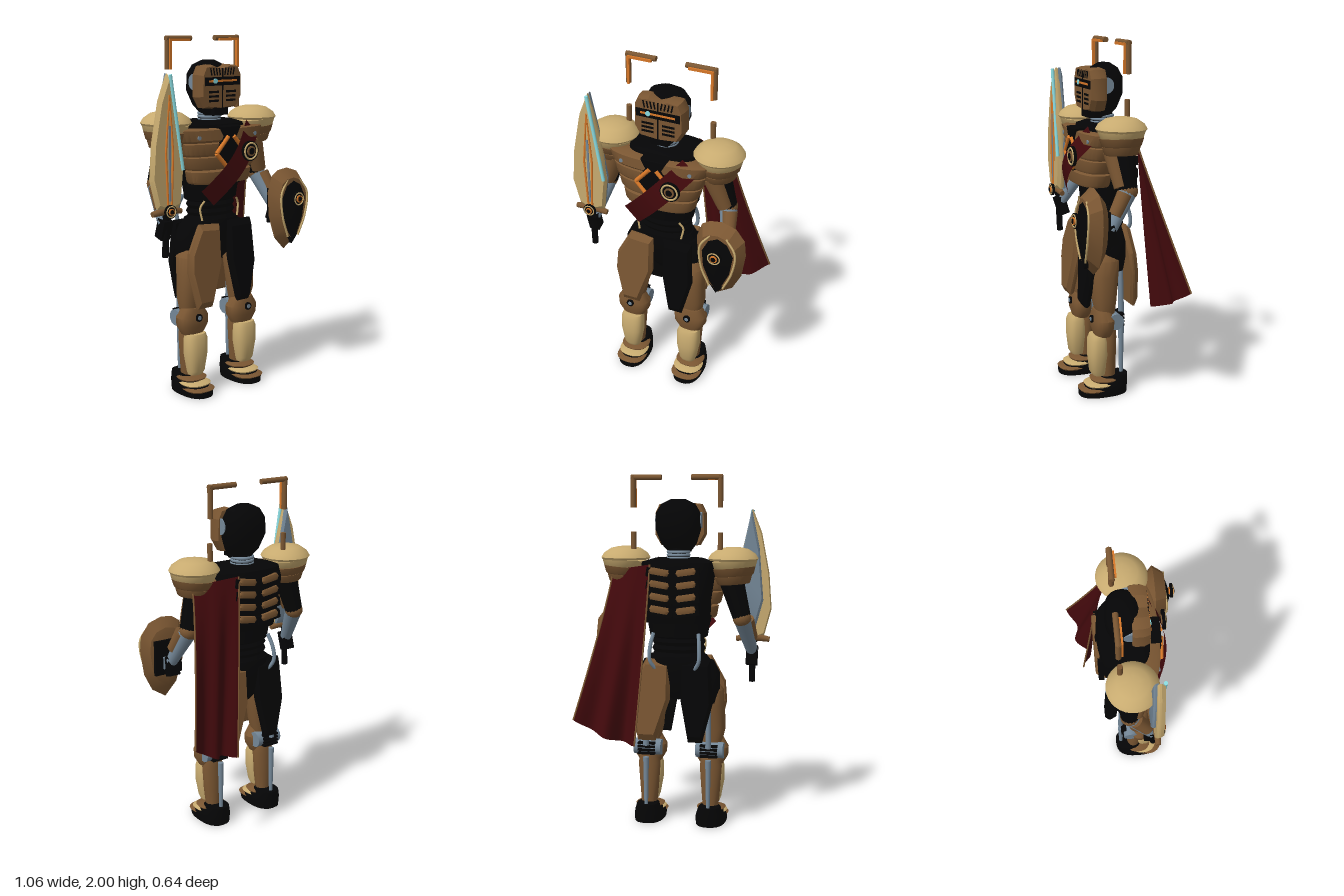
import * as THREE from 'three';
import { toCreasedNormals } from 'three/addons/utils/BufferGeometryUtils.js';

const paint = (name, color) => Object.assign(new THREE.MeshStandardMaterial({ color }), { name });
const V = (x, y, z) => new THREE.Vector3(x, y, z);
const mix = THREE.MathUtils.lerp;

// Skin closed rings of points, with capped ends
function skin(rings, crease = 0.6) {
  const n = rings[0].length, pos = [], idx = [];
  rings.forEach(r => r.forEach(p => pos.push(p.x, p.y, p.z)));
  const caps = [rings[0], rings[rings.length - 1]].map(r => {
    const c = r.reduce((s, p) => s.add(p), V(0, 0, 0)).divideScalar(n);
    pos.push(c.x, c.y, c.z);
    return pos.length / 3 - 1;
  });
  const last = (rings.length - 1) * n;
  for (let i = 0; i < n; i++) {
    const k = (i + 1) % n;
    for (let j = 0; j < last; j += n) idx.push(j + i, j + n + i, j + k, j + n + i, j + n + k, j + k);
    idx.push(caps[0], i, k, caps[1], last + k, last + i);
  }
  const g = new THREE.BufferGeometry();
  g.setAttribute('position', new THREE.Float32BufferAttribute(pos, 3));
  g.setIndex(idx);
  return toCreasedNormals(g, crease);
}
// Upright body from sections [y, rx, rz, cx, cz]; power squares the oval
const loft = (sections, power = 2, n = 24) => skin(sections.map(([y, rx, rz, cx = 0, cz = 0]) =>
  Array.from({ length: n }, (_, i) => {
    const a = i / n * Math.PI * 2, c = Math.cos(a), s = Math.sin(a), e = 2 / power;
    return V(cx + rx * Math.sign(c) * Math.abs(c) ** e, y, cz + rz * Math.sign(s) * Math.abs(s) ** e);
  })));
// Layered plate from a clockwise outline and layers [scale, z]
function plate(outline, layers) {
  const cx = outline.reduce((s, p) => s + p[0], 0) / outline.length;
  const cy = outline.reduce((s, p) => s + p[1], 0) / outline.length;
  return skin(layers.map(([s, z]) => outline.map(([x, y]) => V(cx + (x - cx) * s, cy + (y - cy) * s, z))), 0.4);
}
// Open sheet from a function of u and v
function sheet(nu, nv, f) {
  const g = new THREE.PlaneGeometry(1, 1, nu, nv), p = g.attributes.position, uv = g.attributes.uv;
  for (let i = 0; i < p.count; i++) p.setXYZ(i, ...f(uv.getX(i), 1 - uv.getY(i)).toArray());
  g.computeVertexNormals();
  return g;
}
const tube = (pts, r) => new THREE.TubeGeometry(new THREE.CatmullRomCurve3(pts), 24, r, 8);
const box = (w, h, d) => new THREE.BoxGeometry(w, h, d);

export function createModel() {
  const bronze = paint('bronze', 0x7a5632), gold = paint('pale gold', 0xc8ab70), black = paint('black', 0x050506);
  const orange = paint('orange', 0xd87828), red = paint('dark red', 0x42090c), steel = paint('steel', 0x748797);
  const cyan = paint('cyan', 0x8adbe0);
  red.side = THREE.DoubleSide;

  const root = new THREE.Group(), body = new THREE.Group();
  root.name = 'armouredKnight';
  body.name = 'body';
  body.position.x = -0.02;
  root.add(body);
  const add = (parent, name, geo, mat, p = [0, 0, 0], r = [0, 0, 0]) => {
    const m = new THREE.Mesh(geo, mat);
    m.name = name;
    m.position.set(...p);
    m.rotation.set(...r);
    parent.add(m);
    return m;
  };
  // Tapered rod between two points
  const limb = (parent, name, a, b, ra, rb, mat) => {
    const d = b.clone().sub(a), m = add(parent, name, new THREE.CylinderGeometry(rb, ra, d.length(), 16), mat);
    m.position.copy(a).addScaledVector(d, 0.5);
    m.quaternion.setFromUnitVectors(V(0, 1, 0), d.normalize());
  };
  const disc = (parent, name, r, d, mat, p) =>
    add(parent, name, new THREE.CylinderGeometry(r, r, d, 24), mat, p, [Math.PI / 2, 0, 0]);
  // Round badge with rings
  const badge = (parent, x, y, z, r, mat) => {
    disc(parent, 'badgeBase', r, 0.016, black, [x, y, z]);
    add(parent, 'badgeRing', new THREE.TorusGeometry(r * 0.8, r * 0.1, 6, 24), gold, [x, y, z + 0.008]);
    disc(parent, 'badgeCentre', r * 0.5, 0.03, mat, [x, y, z]);
    disc(parent, 'badgeCore', r * 0.33, 0.036, black, [x, y, z]);
  };

  // Head and face mask
  add(body, 'helmet', loft([[1.565, 0.055, 0.06, 0, 0.02], [1.62, 0.1, 0.085, 0, 0], [1.7, 0.128, 0.095, 0, -0.02],
    [1.79, 0.125, 0.093, 0, -0.022], [1.84, 0.095, 0.07, 0, -0.02], [1.866, 0.04, 0.03, 0, -0.02]], 2.3), black);
  add(body, 'faceMask', plate([[-0.12, 1.838], [-0.06, 1.845], [0, 1.825], [0.06, 1.845], [0.12, 1.838], [0.143, 1.79], [0.145, 1.67],
    [0.11, 1.61], [0, 1.6], [-0.11, 1.61], [-0.145, 1.67], [-0.143, 1.79]], [[0.96, 0.015], [1, 0.03], [1, 0.075], [0.92, 0.105]]), bronze);
  add(body, 'visorSlot', box(0.25, 0.046, 0.008), black, [0, 1.755, 0.105]);
  add(body, 'visorLight', box(0.2, 0.011, 0.008), orange, [0, 1.757, 0.108]);
  disc(body, 'eyeLens', 0.014, 0.009, cyan, [-0.055, 1.757, 0.11]);
  add(body, 'maskSeam', box(0.008, 0.22, 0.006), black, [0, 1.715, 0.104]);
  add(body, 'chinGuard', box(0.1, 0.05, 0.05), black, [0, 1.595, 0.07]);
  for (const s of [-1, 1]) {
    for (let i = 0; i < 4; i++)
      add(body, 'browVent', box(0.008, 0.04, 0.006), black, [s * (0.02 + i * 0.02), 1.807, 0.104], [0, 0, s * -0.2]);
    for (let i = 0; i < 3; i++)
      add(body, 'cheekGrille', box(0.07, 0.012, 0.006), black, [s * 0.06, 1.65 + i * 0.024, 0.104]);
    add(body, 'earDisc', new THREE.CylinderGeometry(0.045, 0.045, 0.02, 20), steel, [s * 0.12, 1.75, 0.014], [0, 0, Math.PI / 2]);
  }
  for (let i = 0; i < 3; i++)
    add(body, 'neckRing', new THREE.TorusGeometry(0.058, 0.009, 8, 24), steel, [0, 1.54 + i * 0.017, -0.01], [Math.PI / 2, 0, 0]);
  add(body, 'neck', new THREE.CylinderGeometry(0.055, 0.07, 0.1, 20), black, [0, 1.55, -0.01]);

  // Torso, waist and hips
  add(body, 'torso', loft([[1.18, 0.18, 0.12, 0, -0.01], [1.3, 0.185, 0.14, 0, -0.025], [1.46, 0.21, 0.15, 0, -0.02],
    [1.52, 0.2, 0.13, 0, -0.02], [1.54, 0.13, 0.09, 0, -0.01]], 3.2, 32), black);
  const waist = [[1.1, 0.166, 0.11], [1.22, 0.188, 0.12]];
  for (let i = 0; i < 8; i++) waist.splice(i, 0, [0.95 + i * 0.02, 0.155 - (i % 2) * 0.012, 0.108 - (i % 2) * 0.012]);
  add(body, 'ribbedWaist', loft(waist), black);
  add(body, 'hips', loft([[0.74, 0.04, 0.06], [0.82, 0.15, 0.1], [0.95, 0.19, 0.115], [0.99, 0.16, 0.11]], 2.4), black);
  const tiers = [[1.43, 0.27, 0.3], [1.355, 0.245, 0.27], [1.28, 0.22, 0.245], [1.2, 0.195, 0.215]];
  tiers.forEach(([y, low, high], i) => add(body, 'chestBand', loft([[y, low, 0.09, 0, 0.07],
    [y + 0.012, low + 0.01, 0.1 - i * 0.002, 0, 0.07], [y + 0.068, high, 0.097, 0, 0.07], [y + 0.074, high - 0.01, 0.085, 0, 0.07]], 2.5, 32), bronze));
  add(body, 'chestCore', plate([[-0.075, 1.515], [0.075, 1.515], [0.045, 1.46], [0.1, 1.38], [0, 1.27], [-0.1, 1.38], [-0.045, 1.46]],
    [[1, 0.12], [1, 0.17], [0.95, 0.176]]), black);
  for (const s of [-1, 1]) {
    limb(body, 'chestChevron', V(s * 0.02, 1.46, 0.178), V(s * 0.1, 1.37, 0.174), 0.012, 0.012, orange);
    limb(body, 'chestChevron', V(s * 0.1, 1.37, 0.174), V(s * 0.025, 1.29, 0.178), 0.012, 0.012, orange);
    disc(body, 'chestBolt', 0.011, 0.012, steel, [s * 0.2, 1.46, 0.148]);
    add(body, 'waistHose', tube([V(s * 0.115, 1.1, 0.09), V(s * 0.138, 1.06, 0.08), V(s * 0.128, 0.99, 0.085)], 0.006), gold);
    add(body, 'backHose', tube([V(s * 0.13, 1.12, -0.08), V(s * 0.14, 1.05, -0.115), V(s * 0.14, 0.97, -0.125), V(s * 0.09, 0.89, -0.09)], 0.011), steel);
    // Spine armour
    for (let i = 0; i < 4; i++) {
      const y = 1.25 + i * 0.07;
      add(body, 'spineBlock', box(0.15, 0.05, 0.03), black, [s * 0.075, y, -0.152], [0, 0, s * 0.15]);
      add(body, 'spinePlate', loft([[-0.018, 0.05, 0.012], [0, 0.058, 0.017], [0.018, 0.05, 0.012]], 4, 16), bronze, [s * 0.075, y + 0.01, -0.164], [0, 0, s * 0.15]);
    }
  }

  // Hip panels, front pair turned half round for the back pair
  const bronzePanel = [[-0.17, 0.97], [-0.03, 0.96], [-0.03, 0.74], [-0.11, 0.5], [-0.21, 0.5], [-0.258, 0.7], [-0.25, 0.82]];
  const blackPanel = [[0.03, 0.97], [0.2, 0.97], [0.215, 0.72], [0.16, 0.5], [0.08, 0.5], [0.03, 0.75]];
  const layers = [[0.94, 0.1], [1, 0.115], [1, 0.125], [0.85, 0.15]];
  for (const turn of [0, Math.PI]) {
    const g = new THREE.Group();
    g.name = turn ? 'backHipPanels' : 'frontHipPanels';
    g.rotation.y = turn;
    body.add(g);
    const tilt = [-0.08, 0, 0], at = [0, 0, turn ? 0.04 : 0.065];
    add(g, 'bronzePanel', plate(bronzePanel, layers), bronze, at, tilt);
    add(g, 'blackPanel', plate(blackPanel, layers), black, at, tilt);
  }

  for (const s of [-1, 1]) {
    // Leg
    const leg = new THREE.Group();
    leg.name = s > 0 ? 'leftLeg' : 'rightLeg';
    leg.position.x = s * 0.183;
    body.add(leg);
    add(leg, 'thigh', loft([[0.47, 0.06, 0.05, 0, 0.045], [0.56, 0.08, 0.065, 0, 0.05], [0.7, 0.085, 0.075, -s * 0.01, 0.045],
      [0.79, 0.085, 0.075, -s * 0.015, 0.035], [0.83, 0.06, 0.055, -s * 0.02, 0.03]], 2.5), bronze);
    add(leg, 'upperThigh', loft([[0.72, 0.05, 0.05, -s * 0.02, -0.02], [0.8, 0.078, 0.085, -s * 0.022, 0.0],
      [0.89, 0.08, 0.09, -s * 0.025, 0.0], [0.96, 0.06, 0.07, -s * 0.04, 0]]), black);
    add(leg, 'kneePlate', loft([[0.35, 0.065, 0.045, 0, 0.06], [0.4, 0.095, 0.06, 0, 0.06], [0.45, 0.098, 0.062, 0, 0.06], [0.505, 0.065, 0.045, 0, 0.065]], 2.6), bronze);
    disc(leg, 'kneeBolt', 0.022, 0.02, black, [0, 0.45, 0.118]);
    disc(leg, 'kneeBoltHead', 0.012, 0.026, steel, [0, 0.45, 0.118]);
    add(leg, 'kneeJoint', new THREE.CylinderGeometry(0.046, 0.046, 0.16, 20), steel, [0, 0.44, 0.005], [0, 0, Math.PI / 2]);
    for (let i = 0; i < 4; i++) add(leg, 'kneeRib', box(0.1, 0.012, 0.05), black, [0, 0.41 + i * 0.02, -0.03]);
    add(leg, 'calf', loft([[0.09, 0.045, 0.04, 0, 0.025], [0.2, 0.055, 0.048, 0, 0.03], [0.34, 0.065, 0.05, 0, 0.03], [0.42, 0.05, 0.045, 0, 0.03]]), bronze);
    add(leg, 'shinGuard', loft([[0.115, 0.042, 0.035, 0, 0.085], [0.14, 0.05, 0.045, 0, 0.09], [0.24, 0.068, 0.055, 0, 0.09],
      [0.33, 0.068, 0.052, 0, 0.09], [0.355, 0.06, 0.042, 0, 0.09]], 2.6), gold);
    limb(leg, 'calfPiston', V(0, 0.1, -0.055), V(0, 0.39, -0.055), 0.011, 0.017, steel);
    limb(leg, 'thighPiston', V(0, 0.46, -0.055), V(0, 0.82, -0.05), 0.017, 0.012, steel);
    add(leg, 'boot', loft([[0, 0.085, 0.14, 0, 0.058], [0.035, 0.088, 0.142, 0, 0.058], [0.06, 0.08, 0.112, 0, 0.025], [0.11, 0.06, 0.07, 0, -0.018]], 2.5), black);
    [bronze, gold, bronze].forEach((m, i) => {
      const y = 0.032 + i * 0.025, rx = 0.09 - i * 0.003, rz = 0.085 - i * 0.005, cz = 0.112 - i * 0.03;
      add(leg, 'toeBand', loft([[y, rx - 0.006, rz, 0, cz], [y + 0.008, rx, rz + 0.004, 0, cz], [y + 0.017, rx - 0.014, rz - 0.015, 0, cz]], 2.4), m);
    });

    // Arm
    const arm = new THREE.Group();
    arm.name = s > 0 ? 'leftArm' : 'rightArm';
    body.add(arm);
    const elbow = V(s * 0.365, 1.21, -0.02), hand = V(s * 0.405, 1.01, 0.1);
    limb(arm, 'upperArm', V(s * 0.29, 1.46, -0.01), elbow, 0.072, 0.05, black);
    limb(arm, 'upperArmPlate', V(s * 0.285, 1.42, 0.035), V(s * 0.355, 1.23, 0.015), 0.058, 0.042, bronze);
    add(arm, 'elbowGuard', new THREE.SphereGeometry(0.052, 16, 12), bronze, elbow.toArray());
    limb(arm, 'forearm', elbow, hand, 0.05, 0.033, steel);
    limb(arm, 'forearmPlate', V(s * 0.385, 1.2, 0.01), V(s * 0.405, 1.09, 0.075), 0.043, 0.036, bronze);
    add(arm, 'hand', box(0.06, 0.11, 0.06), black, [hand.x, 0.985, 0.1], [0.3, 0, 0]);

    // Shoulder guard
    const dome = [[0, 1.53], [0.132, 1.528], [0.14, 1.54], [0.125, 1.565], [0.085, 1.592], [0.04, 1.602], [0, 1.604]];
    add(body, 'shoulderDome', toCreasedNormals(new THREE.LatheGeometry(dome.map(p => new THREE.Vector2(...p)), 32), 0.7), gold, [s * 0.31, 0, 0]);
    [[1.508, 0.13, gold], [1.468, 0.122, bronze], [1.422, 0.106, bronze]].forEach(([y, r, m], i) =>
      add(body, 'shoulderBand', loft([[-0.024, r - 0.02, r - 0.02], [-0.018, r - 0.014, r - 0.014], [0.022, r, r]]), m, [s * (0.318 - i * 0.003), y, 0], [0, 0, s * 0.08]));
    limb(body, 'shoulderPost', V(s * 0.247, 1.59, -0.06), V(s * 0.247, 1.685, -0.06), 0.015, 0.015, bronze);

    // Floating corner frame
    limb(body, 'framePost', V(s * 0.247, 1.82, -0.066), V(s * 0.247, 1.995, -0.066), 0.015, 0.015, bronze);
    limb(body, 'frameArm', V(s * 0.258, 1.985, -0.066), V(s * 0.085, 1.985, -0.066), 0.015, 0.015, bronze);
    add(body, 'frameLightPost', box(0.014, 0.16, 0.016), orange, [s * 0.24, 1.9, -0.049]);
    add(body, 'frameLightArm', box(0.14, 0.014, 0.016), orange, [s * 0.175, 1.977, -0.049]);
  }

  // Sash across the chest
  add(root, 'sash', sheet(12, 4, (u, v) => V(mix(0.175, -0.163, u) + (v - 0.5) * 0.085, mix(1.495, 1.125, u) - (v - 0.5) * 0.085,
    mix(0.13, 0.15, u) + 0.07 * Math.sin(Math.PI * u))), red);
  badge(root, 0.093, 1.372, 0.208, 0.056, bronze);

  // Cape behind the left shoulder
  const cape = (u, v) => V(mix(mix(0.11, 0.345, u), mix(0.18, 0.51, u), v ** 1.2),
    mix(mix(1.51, 1.47, u), mix(0.5, 0.65, u ** 1.7), v),
    mix(mix(-0.16, -0.065, u), mix(-0.25, -0.325, u), v) + v * 0.042 * (1 - 0.75 * u) * (1 - Math.cos(u * Math.PI * 4)));
  add(root, 'cape', sheet(32, 16, cape), red);
  for (const u of [0, 1])
    add(root, 'capeTrim', tube(Array.from({ length: 9 }, (_, i) => cape(u, i / 8)), 0.005), bronze);

  // Sword in the right hand
  const sword = new THREE.Group();
  sword.name = 'sword';
  root.add(sword);
  add(sword, 'bladeFace', plate([[-0.418, 1.81], [-0.395, 1.73], [-0.35, 1.53], [-0.325, 1.28], [-0.345, 1.1], [-0.42, 1.07],
    [-0.49, 1.1], [-0.53, 1.25], [-0.515, 1.45], [-0.47, 1.68]], [[0.96, 0.108], [1, 0.12], [1, 0.13], [0.92, 0.15]]), gold);
  add(sword, 'bladeBack', plate([[-0.415, 1.81], [-0.37, 1.6], [-0.325, 1.3], [-0.35, 1.1], [-0.43, 1.1], [-0.485, 1.3], [-0.46, 1.6]],
    [[0.9, 0.09], [1, 0.1], [1, 0.116]]), steel);
  limb(sword, 'energyEdge', V(-0.414, 1.805, 0.15), V(-0.333, 1.3, 0.15), 0.01, 0.01, cyan);
  for (const s of [-1, 1]) {
    limb(sword, 'bladeLight', V(-0.423 + s * 0.012, 1.12, 0.151), V(-0.423 + s * 0.024, 1.4, 0.151), 0.006, 0.006, orange);
    limb(sword, 'bladeLight', V(-0.423 + s * 0.024, 1.4, 0.151), V(-0.42, 1.7, 0.15), 0.006, 0.004, orange);
    limb(sword, 'guardArm', V(-0.425, 1.09, 0.125), V(-0.425 + s * 0.095, 1.075, 0.125), 0.024, 0.015, bronze);
  }
  add(sword, 'bladeGroove', box(0.012, 0.4, 0.008), steel, [-0.422, 1.34, 0.151]);
  limb(sword, 'grip', V(-0.425, 0.83, 0.11), V(-0.425, 1.08, 0.12), 0.018, 0.018, black);
  badge(sword, -0.425, 1.085, 0.158, 0.036, orange);

  // Shield on the left arm
  const shield = new THREE.Group();
  shield.name = 'shield';
  root.add(shield);
  const outline = [[0.39, 1.25], [0.47, 1.225], [0.52, 1.16], [0.53, 1.07], [0.51, 0.93], [0.46, 0.83], [0.375, 0.775],
    [0.3, 0.85], [0.255, 0.98], [0.245, 1.12], [0.275, 1.21], [0.32, 1.24]];
  add(shield, 'shieldShell', plate(outline, [[0.55, 0.142], [0.72, 0.15], [1, 0.192], [0.97, 0.2], [0.74, 0.255]]), bronze);
  const inner = [[0.39, 1.2], [0.45, 1.17], [0.49, 1.09], [0.47, 0.96], [0.425, 0.86], [0.385, 0.815], [0.345, 0.87], [0.3, 0.98], [0.29, 1.09], [0.33, 1.17]];
  add(shield, 'shieldFace', plate(inner, [[1, 0.2], [1, 0.25], [0.5, 0.273], [0.2, 0.285]]), black);
  for (const s of [-1, 1])
    add(shield, 'shieldTrim', tube([V(0.39 + s * 0.045, 1.19, 0.25), V(0.39 + s * 0.1, 1.11, 0.26), V(0.388 + s * 0.088, 0.98, 0.262), V(0.387 + s * 0.04, 0.86, 0.256)], 0.006), gold);
  badge(shield, 0.387, 1.082, 0.295, 0.042, orange);
  add(shield, 'shieldBackPlate', box(0.17, 0.2, 0.02), black, [0.385, 1.03, 0.138]);
  for (let i = 0; i < 4; i++) add(shield, 'shieldClasp', box(0.012, 0.07, 0.012), steel, [0.355 + i * 0.02, 1.0, 0.124]);

  return root;
}
